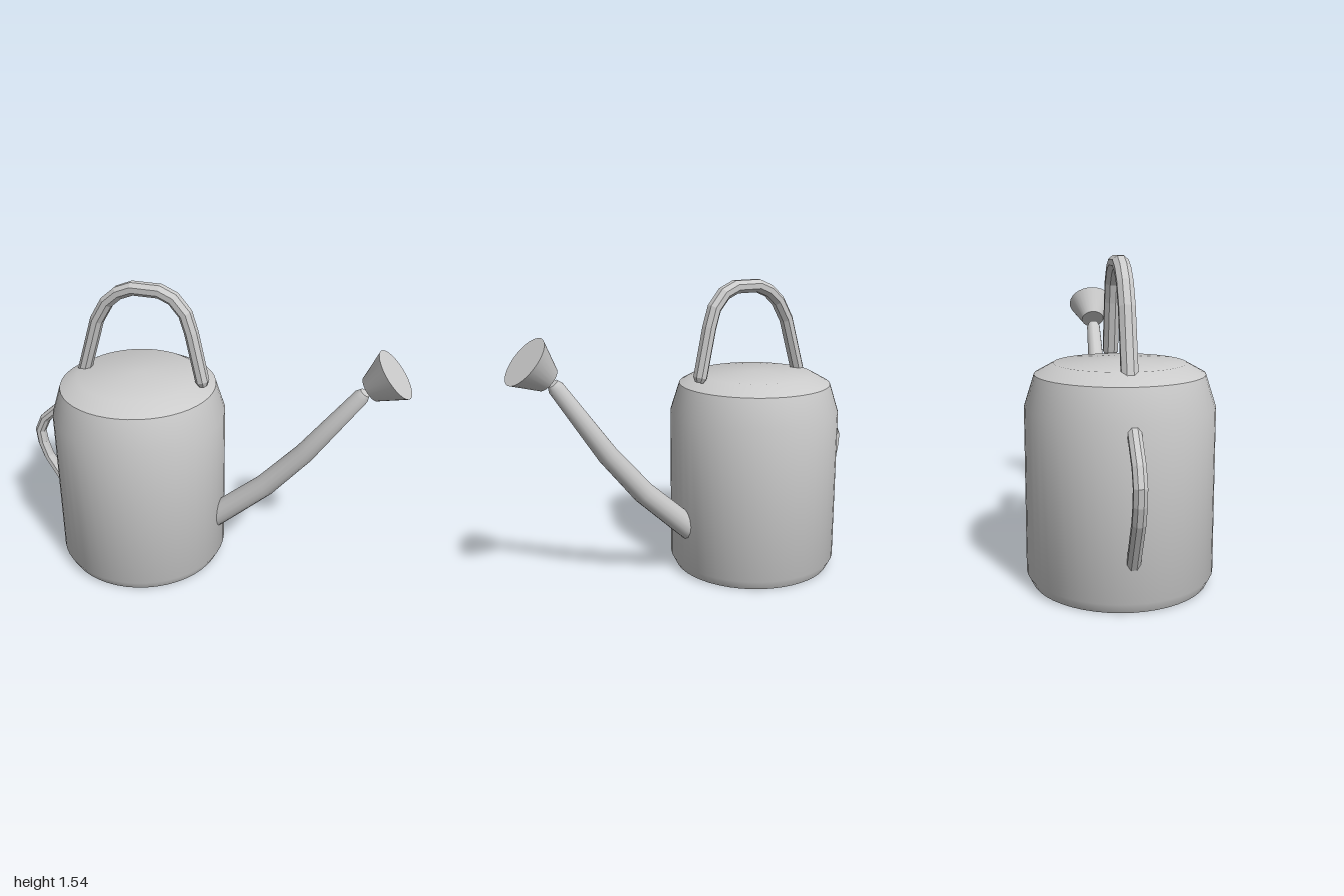
import * as THREE from 'three';
import { toCreasedNormals } from 'three/addons/utils/BufferGeometryUtils.js';

const smooth = new THREE.MeshStandardMaterial({ color: 0xcccccc });
const faceted = new THREE.MeshStandardMaterial({ color: 0xcccccc, flatShading: true });

// Mitred tube along a path in the xy plane; points are [x, y, radius], ends capped.
function sweep(points, sides, depth = 1) {
  const pos = [], index = [];
  const p = points.map(([x, y]) => new THREE.Vector2(x, y));
  const dir = (i) => p[i + 1].clone().sub(p[i]).normalize();
  const last = p.length - 1;
  points.forEach(([x, y, r], i) => {
    const a = dir(Math.max(i - 1, 0)), b = dir(Math.min(i, last - 1));
    const t = a.clone().add(b).normalize();
    const miter = r / t.dot(a);
    for (let s = 0; s < sides; s++) {
      const u = ((s + 0.5) / sides) * Math.PI * 2;
      const c = Math.cos(u) * miter;
      pos.push(x - t.y * c, y + t.x * c, Math.sin(u) * r * depth);
    }
  });
  for (let i = 0; i < last; i++) {
    for (let s = 0; s < sides; s++) {
      const a = i * sides + s, b = i * sides + ((s + 1) % sides);
      index.push(a, b, a + sides, b, b + sides, a + sides);
    }
  }
  const end = last * sides;
  for (let s = 1; s < sides - 1; s++) {
    index.push(0, s + 1, s, end, end + s, end + s + 1);
  }
  const g = new THREE.BufferGeometry();
  g.setAttribute('position', new THREE.Float32BufferAttribute(pos, 3));
  g.setIndex(index);
  g.computeVertexNormals();
  return g;
}

export function createModel() {
  const model = new THREE.Group();
  const add = (name, geometry, material) => {
    const mesh = new THREE.Mesh(geometry, material);
    mesh.name = name;
    model.add(mesh);
    return mesh;
  };

  // Closed can with a bevelled foot and sloping shoulders
  const profile = [[0, 0], [0.425, 0], [0.45, 0.05], [0.448, 0.85], [0.4, 1.0], [0.31, 1.05], [0, 1.06]]
    .map(([x, y]) => new THREE.Vector2(x, y));
  const body = add('body', toCreasedNormals(new THREE.LatheGeometry(profile, 48), 0.75), smooth);
  body.position.x = -0.367;

  // Arched carrying handle over the top
  const arch = [[-0.672, 1.01], [-0.575, 1.32], [-0.515, 1.42], [-0.45, 1.475], [-0.375, 1.505],
    [-0.235, 1.505], [-0.165, 1.475], [-0.105, 1.405], [-0.075, 1.31], [-0.02, 1.06]]
    .map(([x, y]) => [x, y, 0.035]);
  add('topHandle', sweep([...arch, [-0.015, 1.035, 0.022]], 8, 1.15), faceted);

  // Tipping handle at the back of the can
  const grip = [[-0.79, 0.775], [-0.93, 0.698], [-0.967, 0.62], [-0.96, 0.545], [-0.933, 0.46], [-0.795, 0.22]];
  grip[0][1] = 0.825;
  add('sideHandle', sweep(grip.map(([x, y]) => [x, y, 0.028]), 8, 1.15), faceted);

  // Curved, tapering spout with a rounded tip
  add('spout', toCreasedNormals(sweep([[0.0, 0.22, 0.063], [0.08, 0.29, 0.062], [0.32, 0.51, 0.057],
    [0.515, 0.74, 0.051], [0.768, 1.1, 0.038], [0.783, 1.122, 0.026]], 14), 0.7), smooth);

  // Sprinkler rose: a cone opening along the spout direction
  const from = new THREE.Vector3(0.803, 1.147, 0), to = new THREE.Vector3(0.915, 1.23, 0);
  const axis = new THREE.Vector3(0.76, 0.65, 0).normalize();
  const rose = add('rose', toCreasedNormals(
    new THREE.CylinderGeometry(0.129, 0.064, from.distanceTo(to), 28), 0.7), smooth);
  rose.position.copy(from).add(to).multiplyScalar(0.5);
  rose.quaternion.setFromUnitVectors(new THREE.Vector3(0, 1, 0), axis);

  return model;
}
